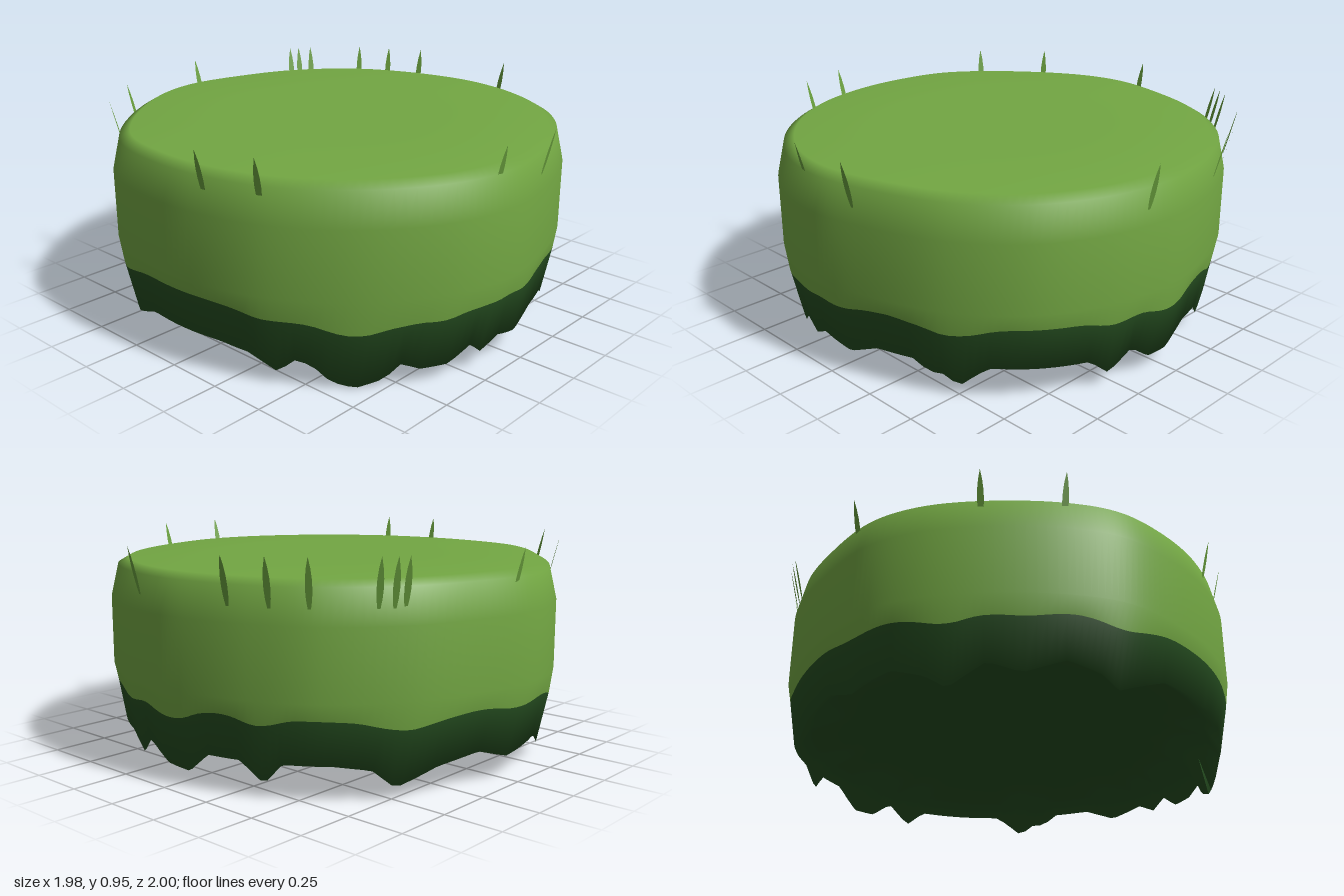
import * as THREE from 'three';

const SEGMENTS = 180;

// Plan outline of the disc, as [x, z] going from the left side to the front
const OUTLINE = [
  [0.97, 0.08], [0.91, 0.36], [0.76, 0.63], [0.5, 0.84], [0.15, 0.965], [-0.1, 0.998],
  [-0.38, 0.93], [-0.68, 0.72], [-0.89, 0.42], [-0.975, 0.1], [-0.975, -0.18], [-0.92, -0.42],
  [-0.785, -0.612], [-0.53, -0.83], [-0.3, -0.957], [-0.08, -1], [0.2, -0.95], [0.5, -0.835],
  [0.76, -0.61], [0.89, -0.37], [0.955, -0.13],
];

// Height of the ragged lower edge, as [angle in degrees, y]
const EDGE = [
  [-3, 0.06], [5, 0.07], [12, 0.15], [18, 0.06], [24, 0.14], [48, 0.15], [51, 0.12], [56, 0.05],
  [60, 0.1], [64, 0.1], [67, 0.15], [78, 0.15], [87, 0.09], [96, 0.13], [102, 0.08], [105, 0.14],
  [111, 0.07], [119, 0.07], [123, 0.11], [127, 0.04], [134, 0], [140, 0.03], [144, 0.1], [148, 0.13],
  [153, 0.06], [160, 0.13], [168, 0.15], [192, 0.15], [206, 0.06], [210, 0.11], [218, 0.15], [228, 0.1],
  [236, 0.14], [245, 0.05], [250, 0.1], [258, 0.14], [270, 0.1], [280, 0.15], [292, 0.12],
  [303, 0.05], [309, 0.13], [318, 0.15], [330, 0.15], [335, 0.06], [341, 0.15], [350, 0.15], [357, 0.06],
];

// Places around the rim where grass blades grow, as [x, z]
const BLADES = [
  [0, -0.98], [0.51, -0.82], [0.55, -0.8], [0.6, -0.765], [0.78, -0.585], [0.86, -0.455], [0.925, -0.3],
  [0.96, 0.18], [0.145, 0.965], [-0.16, 0.97], [-0.89, 0.405], [-0.965, 0.17], [-0.775, -0.603], [-0.525, -0.825],
];

function edgeHeight(degrees) {
  const k = EDGE.findIndex((e, i) => i > 0 && e[0] >= degrees);
  const [a0, y0] = EDGE[k - 1];
  const [a1, y1] = EDGE[k];
  return THREE.MathUtils.lerp(y0, y1, (degrees - a0) / (a1 - a0));
}

// Sample the outline and give each sample its ragged edge and colour boundary
function makeSamples() {
  const curve = new THREE.CatmullRomCurve3(OUTLINE.map(([x, z]) => new THREE.Vector3(x, 0, z)), true);
  const samples = [];
  for (let i = 0; i < SEGMENTS; i++) {
    const p = curve.getPoint(i / SEGMENTS);
    let degrees = THREE.MathUtils.radToDeg(Math.atan2(p.z, p.x));
    if (degrees < -3) degrees += 360;
    samples.push({ x: p.x, z: p.z, tip: edgeHeight(degrees) });
  }
  samples.forEach((s, i) => {
    let sum = 0;
    for (let k = -2; k <= 2; k++) sum += samples[(i + k + SEGMENTS) % SEGMENTS].tip;
    s.border = 0.245 + 0.58 * (sum / 5);
  });
  return samples;
}

// Closed rings, each a rule giving [scale, y], joined from top to bottom
function loft(samples, rings) {
  const positions = [];
  const index = [];
  for (const ring of rings) {
    for (const s of samples) {
      const [scale, y] = ring(s);
      positions.push(s.x * scale, y, s.z * scale);
    }
  }
  for (let r = 0; r < rings.length - 1; r++) {
    for (let i = 0; i < SEGMENTS; i++) {
      const j = (i + 1) % SEGMENTS;
      const a = r * SEGMENTS + i, b = r * SEGMENTS + j;
      const c = a + SEGMENTS, d = b + SEGMENTS;
      index.push(a, d, c, a, b, d);
    }
  }
  const geometry = new THREE.BufferGeometry();
  geometry.setAttribute('position', new THREE.Float32BufferAttribute(positions, 3));
  geometry.setIndex(index);
  geometry.computeVertexNormals();
  return geometry;
}

// Thin pointed leaf, widest near the middle
function bladeGeometry() {
  const shape = new THREE.Shape();
  shape.moveTo(-0.006, 0);
  shape.bezierCurveTo(-0.017, 0.06, -0.017, 0.13, 0, 0.203);
  shape.bezierCurveTo(0.017, 0.13, 0.017, 0.06, 0.006, 0);
  return new THREE.ShapeGeometry(shape, 5);
}

export function createModel() {
  const model = new THREE.Group();
  model.name = 'grassPlatform';
  const grass = new THREE.MeshStandardMaterial({ name: 'grassGreen', color: 0x73a743 });
  const dark = new THREE.MeshStandardMaterial({ name: 'darkGreen', color: 0x264f21 });
  const blade = new THREE.MeshStandardMaterial({ name: 'bladeGreen', color: 0x6aa03e, side: THREE.DoubleSide });

  const add = (name, geometry, material) => {
    const mesh = new THREE.Mesh(geometry, material);
    mesh.name = name;
    model.add(mesh);
    return mesh;
  };
  const flat = (scale, y) => () => [scale, y];
  const samples = makeSamples();

  // Grass top with a bevelled rim and upper wall
  add('grassTop', loft(samples, [
    flat(0, 0.86), flat(0.5, 0.86), flat(0.92, 0.857), flat(0.967, 0.83),
    flat(1, 0.69), flat(1, 0.4), (s) => [0.985, s.border],
  ]), grass);

  // Dark wall ending in ragged drips, turning under into a shallow hollow
  add('darkSkirt', loft(samples, [
    (s) => [0.985, s.border],
    (s) => [0.955 - 0.2 * (0.15 - s.tip), s.tip],
    (s) => [0.88, 0.16 + 0.3 * s.tip],
    flat(0.7, 0.25), flat(0.4, 0.31), flat(0, 0.34),
  ]), dark);

  // Grass blades leaning outward around the rim
  const leaf = bladeGeometry();
  BLADES.forEach(([x, z]) => {
    const mesh = add('grassBlade', leaf, blade);
    const base = x > 0.1 ? 0.99 : 0.97;
    mesh.position.set(x * base, 0.753, z * base);
    mesh.rotation.order = 'YXZ';
    mesh.rotation.set(0.24, Math.atan2(x, z), 0);
  });
  return model;
}
